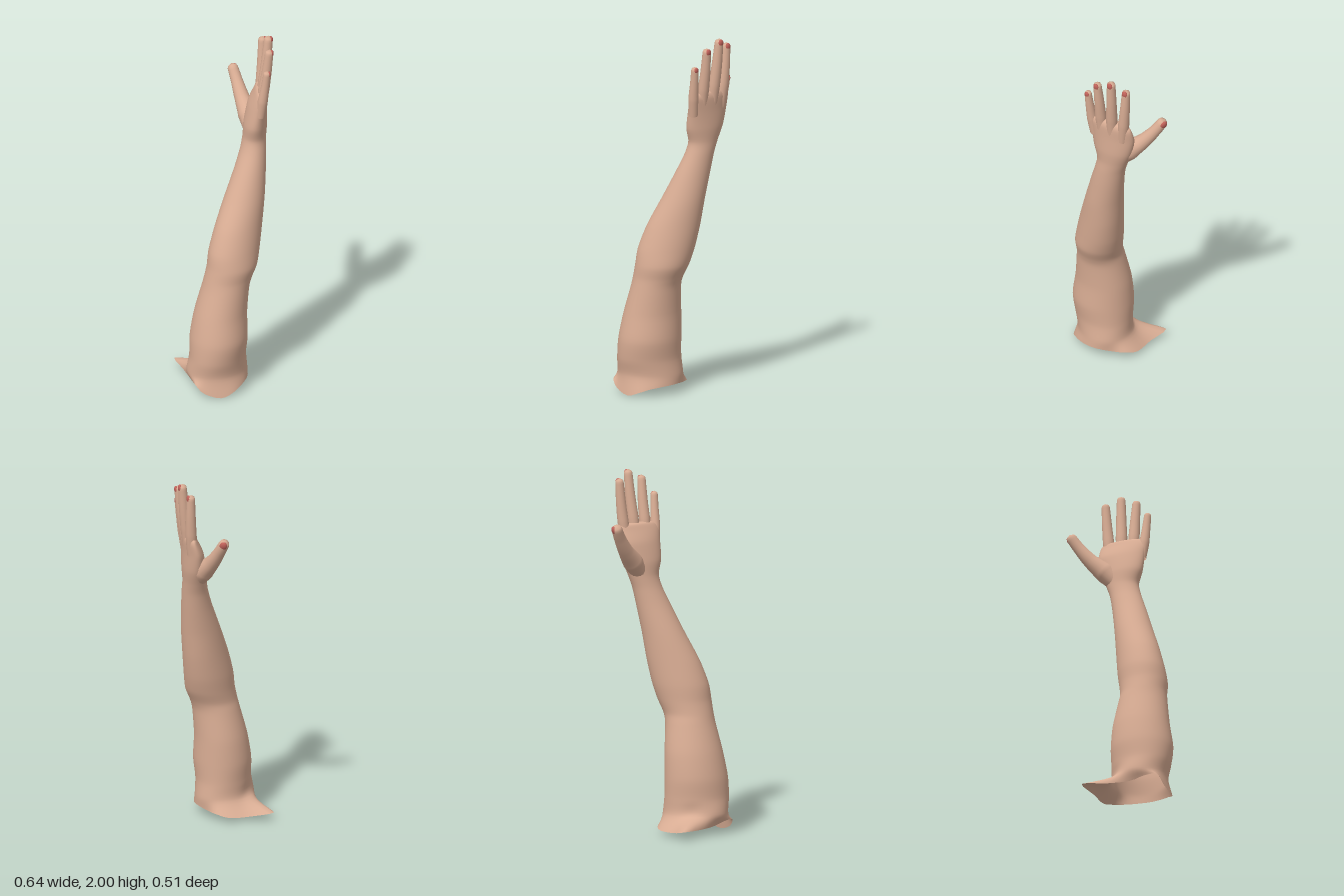
import * as THREE from 'three';
import { mergeVertices } from 'three/addons/utils/BufferGeometryUtils.js';

const V = (x, y, z) => new THREE.Vector3(x, y, z);

// Ragged open edge at the shoulder end, running from +x round through +z
const RIM = [
  [0.06, 0.05, 0.07], [0.04, 0.06, 0.14], [0, 0.06, 0.19], [-0.06, 0.055, 0.225],
  [-0.12, 0.045, 0.24], [-0.18, 0.025, 0.24], [-0.24, 0.005, 0.21], [-0.3, 0.03, 0.14],
  [-0.32, 0.075, 0.095], [-0.28, 0.07, 0.03], [-0.23, 0.05, -0.03], [-0.165, 0.045, -0.14],
  [-0.1, 0.05, -0.26], [-0.03, 0.03, -0.16], [0.055, 0.03, -0.075], [0.078, 0.045, 0],
];

// Arm and palm sections: height, x range, z range, skew of the ellipse
const SECTIONS = [
  [0.11, -0.3, 0.06, -0.085, 0.225, 0],
  [0.2, -0.3, 0.05, -0.075, 0.235, -0.1],
  [0.31, -0.293, 0.05, -0.08, 0.25, -0.1],
  [0.45, -0.265, 0.05, -0.065, 0.237, -0.1],
  [0.6, -0.225, 0.05, -0.03, 0.236, -0.05],
  [0.66, -0.212, 0.062, -0.015, 0.24, 0],
  [0.73, -0.2, 0.095, -0.01, 0.252, 0],
  [0.82, -0.185, 0.125, -0.01, 0.244, 0],
  [0.95, -0.135, 0.155, -0.003, 0.23, 0],
  [1.1, -0.055, 0.181, 0.005, 0.214, 0],
  [1.25, 0.022, 0.21, 0.014, 0.192, -0.1],
  [1.35, 0.07, 0.23, 0.014, 0.175, -0.2],
  [1.42, 0.09, 0.25, 0.005, 0.165, -0.35],
  [1.5, 0.08, 0.277, -0.01, 0.18, -0.58],
  [1.6, 0.09, 0.295, -0.018, 0.192, -0.82],
  [1.67, 0.1, 0.303, 0, 0.202, -1.02],
  [1.7, 0.125, 0.287, 0.02, 0.182, -1.12],
  [1.71, 0.2, 0.206, 0.1, 0.106, -1.12],
];

// Smooth skin through the sections, with the rim as the first ring
function armGeometry(around = 48, along = 96) {
  const rim = new THREE.CatmullRomCurve3(RIM.map((p) => V(...p)), true, 'catmullrom', 0.5);
  const pos = [], index = [];
  for (let j = 0; j < around; j++) {
    const t = (j / around) * Math.PI * 2;
    const column = [rim.getPoint(j / around)];
    for (const [y, x0, x1, z0, z1, skew] of SECTIONS) {
      column.push(V(
        (x0 + x1) / 2 + ((x1 - x0) / 2) * Math.cos(t), y,
        (z0 + z1) / 2 + ((z1 - z0) / 2) * Math.sin(t + skew)));
    }
    const curve = new THREE.CatmullRomCurve3(column, false, 'catmullrom', 0.4);
    for (let i = 0; i <= along; i++) pos.push(...curve.getPoint(i / along).toArray());
  }
  const at = (i, j) => (j % around) * (along + 1) + i;
  for (let j = 0; j < around; j++) {
    for (let i = 0; i < along; i++) {
      const a = at(i, j), b = at(i, j + 1), c = at(i + 1, j), d = at(i + 1, j + 1);
      index.push(a, c, b, b, c, d);
    }
  }
  const g = new THREE.BufferGeometry();
  g.setAttribute('position', new THREE.Float32BufferAttribute(pos, 3));
  g.setIndex(index);
  g.computeVertexNormals();
  return g;
}

// Tapered tube with a rounded tip
function digitGeometry(curve, radii) {
  const rings = 32, sides = 16, length = curve.getLength();
  const g = new THREE.TubeGeometry(curve, rings, 1, sides, false);
  const p = g.attributes.position, v = V(0, 0, 0);
  for (let i = 0; i <= rings; i++) {
    const u = i / rings, c = curve.getPointAt(u);
    const f = u * (radii.length - 1), k = Math.min(Math.floor(f), radii.length - 2);
    let r = THREE.MathUtils.lerp(radii[k], radii[k + 1], f - k);
    const end = Math.min(1, ((1 - u) * length) / r);
    r *= Math.sqrt(Math.max(0, 1 - (1 - end) ** 2));
    for (let j = 0; j <= sides; j++) {
      const n = i * (sides + 1) + j;
      v.fromBufferAttribute(p, n).sub(c).multiplyScalar(r).add(c);
      p.setXYZ(n, v.x, v.y, v.z);
    }
  }
  g.deleteAttribute('uv');
  g.deleteAttribute('normal');
  const merged = mergeVertices(g, 1e-5);
  merged.computeVertexNormals();
  return merged;
}

export function createModel() {
  const skin = new THREE.MeshStandardMaterial({ color: 0xd9ad94, side: THREE.DoubleSide });
  const nailRed = new THREE.MeshStandardMaterial({ color: 0xc0625a });
  const model = new THREE.Group();
  model.name = 'raisedArm';

  const add = (name, geometry, material, parent = model) => {
    const mesh = new THREE.Mesh(geometry, material);
    mesh.name = name;
    parent.add(mesh);
    return mesh;
  };

  // Finger or thumb with a nail lying on the side given by "back"
  const addDigit = (name, points, radii, back) => {
    const group = new THREE.Group();
    group.name = name;
    model.add(group);
    const curve = new THREE.CatmullRomCurve3(points.map((p) => V(...p)));
    add(name + 'Flesh', digitGeometry(curve, radii), skin, group);
    const r = radii[radii.length - 1];
    const u = 1 - (r * 1.05) / curve.getLength();
    const dir = curve.getTangentAt(u);
    const out = back.clone().addScaledVector(dir, -back.dot(dir)).normalize();
    const nail = add(name + 'Nail', new THREE.SphereGeometry(1, 16, 12), nailRed, group);
    nail.scale.set(r * 0.78, r * 0.95, r * 0.5);
    nail.quaternion.setFromRotationMatrix(
      new THREE.Matrix4().makeBasis(dir.clone().cross(out), dir, out));
    nail.position.copy(curve.getPointAt(u)).addScaledVector(out, r * 0.6);
  };

  // Arm from shoulder edge to knuckles
  add('armAndPalm', armGeometry(), skin);

  // Four fingers, little finger to index
  const back = V(1, 0.15, 1);
  addDigit('littleFinger',
    [[0.12, 1.58, 0.175], [0.121, 1.68, 0.192], [0.126, 1.77, 0.205], [0.13, 1.865, 0.217]],
    [0.026, 0.028, 0.023, 0.019], back);
  addDigit('ringFinger',
    [[0.165, 1.6, 0.14], [0.172, 1.7, 0.15], [0.185, 1.82, 0.162], [0.195, 1.96, 0.176]],
    [0.028, 0.031, 0.027, 0.022], back);
  addDigit('middleFinger',
    [[0.215, 1.6, 0.095], [0.228, 1.71, 0.1], [0.245, 1.84, 0.105], [0.26, 2, 0.11]],
    [0.029, 0.032, 0.028, 0.023], back);
  addDigit('indexFinger',
    [[0.26, 1.6, 0.045], [0.274, 1.7, 0.043], [0.287, 1.82, 0.038], [0.296, 1.96, 0.032]],
    [0.028, 0.031, 0.027, 0.022], back);

  // Thumb, reaching out towards the back
  addDigit('thumb',
    [[0.185, 1.43, 0.06], [0.215, 1.5, 0], [0.245, 1.575, -0.075], [0.27, 1.66, -0.14], [0.283, 1.73, -0.185]],
    [0.045, 0.056, 0.042, 0.033, 0.028], V(1, 0.1, -0.5));

  return model;
}
